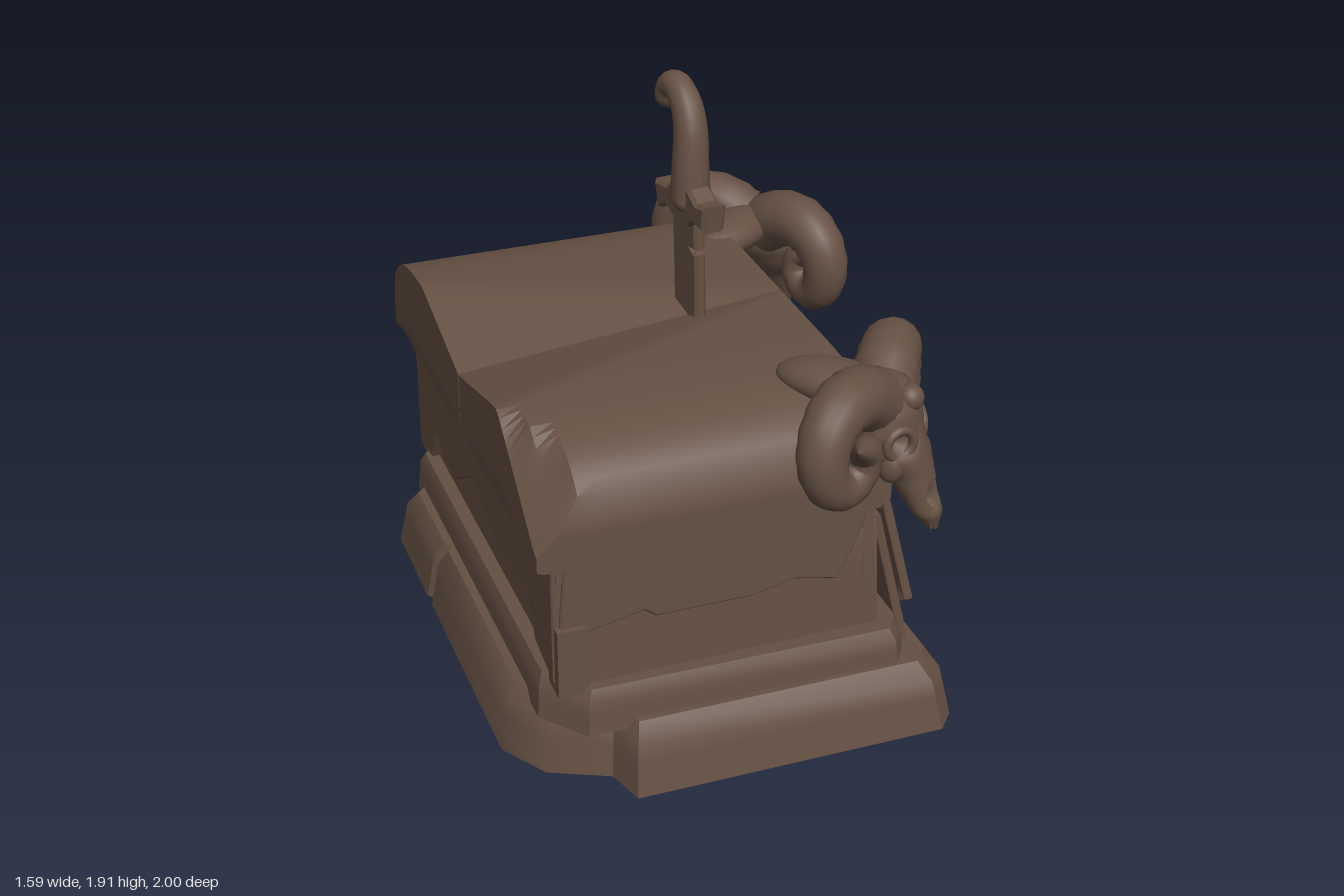
import * as THREE from 'three';
import { toCreasedNormals } from 'three/addons/utils/BufferGeometryUtils.js';

const stone = new THREE.MeshStandardMaterial({ color: 0x655043 });
stone.name = 'brownStone';

function add(parent, name, geo, x = 0, y = 0, z = 0) {
  const m = new THREE.Mesh(geo, stone);
  m.name = name;
  m.position.set(x, y, z);
  parent.add(m);
  return m;
}

// Move every vertex by a rule, then rebuild normals
function warp(geo, rule, crease = 0.6) {
  const p = geo.attributes.position, v = new THREE.Vector3();
  for (let i = 0; i < p.count; i++) {
    rule(v.fromBufferAttribute(p, i));
    p.setXYZ(i, v.x, v.y, v.z);
  }
  geo.deleteAttribute('normal');
  geo.computeVertexNormals();
  return toCreasedNormals(geo, crease);
}

const shapeOf = pts => new THREE.Shape(pts.map(p => new THREE.Vector2(p[0], p[1])));

// Plate drawn in x,y
const plate = (pts, depth, bevel = 0.006) => new THREE.ExtrudeGeometry(shapeOf(pts),
  { depth, bevelEnabled: bevel > 0, bevelSize: bevel, bevelThickness: bevel, bevelSegments: 1 });
// Plate drawn in -z,y that faces +x
const sidePlate = (pts, depth, bevel) => plate(pts, depth, bevel).rotateY(Math.PI / 2);

// Horizontal block from an x,z outline whose upper part is drawn in
function block(pts, y0, y1, top, mid = (1 + top) / 2 + 0.01) {
  const g = new THREE.ExtrudeGeometry(shapeOf(pts.map(p => [p[0], -p[1]])),
    { depth: 1, steps: 4, bevelEnabled: false }).rotateX(-Math.PI / 2);
  return warp(g, v => {
    const t = v.y;
    const s = t < 0.75 ? 1 + (mid - 1) * t / 0.75 : mid + (top - mid) * (t - 0.75) * 4;
    v.set(-0.08 + (v.x + 0.08) * s, y0 + (y1 - y0) * t, v.z * s);
  });
}

// Tube along a smooth path with a changing radius
function taperTube(pts, radius, segs = 48, sides = 16) {
  const path = new THREE.CatmullRomCurve3(pts.map(p => new THREE.Vector3(...p)));
  const g = new THREE.TubeGeometry(path, segs, 1, sides);
  const p = g.attributes.position, v = new THREE.Vector3();
  for (let i = 0; i < p.count; i++) {
    const t = Math.floor(i / (sides + 1)) / segs, c = path.getPointAt(t);
    v.fromBufferAttribute(p, i).sub(c).multiplyScalar(radius(t)).add(c);
    p.setXYZ(i, v.x, v.y, v.z);
  }
  return g;
}

function ball(r, sx = 1, sy = 1, sz = 1) {
  return new THREE.SphereGeometry(r, 24, 16).scale(sx, sy, sz);
}

// Half of the cracked top slab: rounded at its end, with a facet that
// widens from the right and falls towards the crack
function slabHalf(side) {
  const len = side > 0 ? 0.83 : 0.87;
  const g = new THREE.BoxGeometry(1.12, 1, 1, 16, 6, 28);
  return warp(g, v => {
    const t = v.y + 0.5, u = side > 0 ? v.z + 0.5 : 0.5 - v.z;
    let x = v.x - 0.16;
    const z = side * u * len;
    const e = Math.max(0, (u - 0.35) / 0.65);
    let h = 0.13 + 0.235 * Math.sqrt(Math.max(0, 1 - e ** 3.5));
    const left = Math.max(0.001, (0.4 - x) / 1.12);
    h -= 0.11 * left * Math.max(0, 1 - u * len / (0.43 * left));
    // broken front corner
    if (side > 0) h = Math.min(h, 0.37 - 0.85 * Math.max(0, z - 1.4 * (x + 0.72) - 0.45));
    if (t === 0 && x < -0.7) x += 0.02;
    v.set(x, 0.79 + t * Math.max(h, 0.06), z + side * 0.004 * t * (1 - u));
  }, 0.4);
}

// Ram skull facing its own +z, with heights in model units
function ramSkull(name) {
  const g = new THREE.Group();
  g.name = name;
  // y, z, half width, half depth
  const rows = [[1.22, -0.03, 0.03, 0.03], [1.19, -0.02, 0.09, 0.09], [1.13, 0, 0.125, 0.12],
    [1.05, 0.02, 0.135, 0.115], [0.97, 0.06, 0.12, 0.1], [0.9, 0.1, 0.08, 0.08],
    [0.83, 0.135, 0.065, 0.065], [0.77, 0.165, 0.055, 0.05], [0.71, 0.185, 0.015, 0.02]];
  const head = warp(new THREE.CylinderGeometry(1, 1, 1, 32, 32), v => {
    const f = (0.5 - v.y) * (rows.length - 1), i = Math.min(Math.floor(f), rows.length - 2);
    const r = rows[i].map((a, k) => a + (rows[i + 1][k] - a) * (f - i));
    const x = v.x * r[2];
    let z = r[1] + v.z * r[3];
    if (v.z > 0) {
      const eye = Math.hypot(Math.abs(x) - 0.085, (r[0] - 1.03) * 1.1);
      const nose = Math.hypot((Math.abs(x) - 0.025) * 1.6, (r[0] - 0.83) * 0.7);
      z -= 0.07 * Math.max(0, 1 - eye / 0.05) + 0.04 * Math.max(0, 1 - nose / 0.035);
    }
    v.set(x, r[0], z);
  }, 0.9);
  add(g, 'skull', head);
  add(g, 'backOfSkull', ball(1, 0.1, 0.07, 0.21), 0, 1.15, -0.14);
  add(g, 'foreheadKnob', ball(0.045), 0, 1.15, 0.09);
  for (const s of [-1, 1]) {
    // Horn curls in an upright plane that sweeps back
    const horn = [[0.05, 1.14], [0.13, 1.185], [0.22, 1.19], [0.295, 1.14],
      [0.325, 1.05], [0.3, 0.965], [0.235, 0.93], [0.175, 0.97], [0.175, 1.03], [0.22, 1.05]];
    add(g, 'horn', taperTube(horn.map((p, i) => [s * p[0], p[1], -0.3 * p[0] + 0.008 * i]),
      t => (0.107 - 0.055 * t) * (1 + 0.02 * Math.cos(t * 80)) * (t > 0.94 ? Math.sqrt(Math.max(0, (1 - t) / 0.06)) : 1), 96));
    const brow = add(g, 'brow', new THREE.TorusGeometry(0.047, 0.016, 8, 20), s * 0.085, 1.03, 0.095);
    brow.rotation.y = s * 0.65;
    add(g, 'cheek', ball(0.04, 0.7, 1.3, 1), s * 0.1, 0.95, 0.07);
    const tooth = add(g, 'frontTooth', new THREE.ConeGeometry(0.018, 0.09, 6), s * 0.03, 0.75, 0.185);
    tooth.rotation.x = Math.PI - 0.2;
  }
  return g;
}

// Torn hanging cloth, two layers leaning outward, with a studded collar
function clothStrip(name, x, z) {
  const g = new THREE.Group();
  g.name = name;
  const upper = [[-0.075, 0.82], [-0.115, 0.4], [-0.08, 0.43], [-0.06, 0.36], [-0.03, 0.4], [0, 0.35],
    [0.03, 0.39], [0.06, 0.34], [0.075, 0.4], [0.105, 0.38], [0.075, 0.82]];
  const lower = [[-0.06, 0.7], [-0.09, 0.23], [-0.05, 0.26], [-0.02, 0.22], [0.02, 0.27], [0.05, 0.23],
    [0.09, 0.25], [0.06, 0.7]];
  const lean = v => { v.x += (0.82 - v.y) * 0.22; };
  add(g, 'upperCloth', warp(sidePlate(upper, 0.022, 0.004), lean), x + 0.015, 0, z);
  add(g, 'lowerCloth', warp(sidePlate(lower, 0.022, 0.004), lean), x - 0.02, 0, z);
  add(g, 'collar', new THREE.BoxGeometry(0.1, 0.1, 0.22), x - 0.01, 0.84, z);
  for (const s of [-1, 1]) add(g, 'stud', ball(0.033), x + 0.04, 0.84, z + s * 0.065);
  return g;
}

export function createModel() {
  const model = new THREE.Group();
  model.name = 'altar';

  // Stepped plinth with chipped corners
  add(model, 'base', block([[-0.79, 0.6], [-0.69, 0.76], [-0.5, 0.85], [-0.46, 0.98], [0.58, 0.99], [0.64, 0.92],
    [0.64, -0.93], [0.57, -1], [-0.36, -1], [-0.41, -0.94], [-0.66, -0.86], [-0.79, -0.72],
    [-0.79, -0.33], [-0.765, -0.3], [-0.79, -0.27]], 0, 0.225, 0.91, 0.96));
  add(model, 'step', block([[-0.7, 0.72], [-0.58, 0.87], [0.46, 0.89], [0.51, 0.82], [0.51, -0.83], [0.46, -0.9],
    [-0.55, -0.9], [-0.7, -0.76]], 0.19, 0.34, 0.96, 0.985));
  add(model, 'body', block([[-0.63, 0.8], [0.42, 0.8], [0.42, -0.82], [-0.63, -0.82]], 0.33, 0.8, 0.94));
  add(model, 'neck', block([[-0.65, 0.79], [0.37, 0.79], [0.37, -0.82], [-0.65, -0.82]], 0.72, 0.8, 1, 1));

  // Remaining patches of facing on the four walls
  const facing = [[-0.62, 0.79], [-0.64, 0.54], [-0.57, 0.53], [-0.37, 0.57], [-0.33, 0.54], [-0.02, 0.54],
    [0.13, 0.57], [0.27, 0.54], [0.33, 0.66], [0.37, 0.79]];
  add(model, 'frontFacing', plate(facing, 0.03), 0, 0, 0.762);
  add(model, 'backFacing', plate(facing, 0.05), 0, 0, -0.84);
  const wall = [[-0.77, 0.79], [-0.79, 0.52], [-0.55, 0.53], [-0.3, 0.6], [0, 0.62], [0.25, 0.6], [0.5, 0.54],
    [0.8, 0.5], [0.79, 0.79]];
  add(model, 'rightFacing', sidePlate(wall, 0.03), 0.365, 0, 0);
  add(model, 'leftFacing', sidePlate([[-0.78, 0.79], [-0.78, 0.36], [-0.6, 0.4], [-0.52, 0.55], [-0.2, 0.5],
    [0.1, 0.6], [0.35, 0.45], [0.6, 0.5], [0.68, 0.36], [0.82, 0.36], [0.82, 0.79]], 0.04), -0.66, 0, 0);
  for (const [x, z] of [[-0.61, 0.77], [-0.61, -0.8]])
    add(model, 'cornerStone', new THREE.BoxGeometry(0.1, 0.24, 0.1), x, 0.44, z);

  // Cracked top slab
  add(model, 'slabFront', slabHalf(1));
  add(model, 'slabBack', slabHalf(-1));

  // Skulls and cloth on the two left corners
  const frontSkull = ramSkull('frontSkull');
  frontSkull.position.set(0.425, 0, 0.74);
  frontSkull.rotation.y = Math.PI / 4;
  const backSkull = ramSkull('backSkull');
  backSkull.position.set(0.585, -0.03, -0.66);
  backSkull.rotation.y = Math.PI / 2 + 0.62;
  model.add(frontSkull, backSkull, clothStrip('frontCloth', 0.41, 0.68), clothStrip('backCloth', 0.45, -0.66));

  // Garland with beads and a round boss
  for (const s of [-1, 1]) {
    add(model, 'garland', taperTube([[0.4, 0.85, s * 0.6 - 0.02], [0.41, 0.8, s * 0.42 - 0.03],
      [0.42, 0.74, s * 0.22 - 0.03], [0.42, 0.7, -0.03]], t => 0.045 + 0.018 * Math.sin(t * Math.PI), 24));
    add(model, 'bead', ball(0.045), 0.455, 0.7, s * 0.225 - 0.03);
  }
  add(model, 'boss', ball(0.166, 0.4, 1, 1), 0.43, 0.7, -0.035);

  // Sword driven into the slab
  const sword = new THREE.Group();
  sword.name = 'sword';
  sword.position.set(0.09, 0, -0.03);
  sword.rotation.y = 0.12;
  add(sword, 'blade', sidePlate([[-0.075, 1.05], [0.065, 1.05], [0.085, 1.5], [-0.06, 1.5], [-0.062, 1.38],
    [-0.02, 1.37], [-0.066, 1.35]], 0.02, 0.01), -0.015, 0, 0);
  add(sword, 'guard', sidePlate([[-0.15, 1.55], [-0.14, 1.48], [-0.08, 1.49], [-0.04, 1.46], [0.06, 1.46],
    [0.11, 1.48], [0.16, 1.45], [0.18, 1.52], [0.1, 1.53], [0.05, 1.57], [-0.05, 1.57], [-0.1, 1.54]], 0.06, 0.012),
    -0.03, 0, 0);
  add(sword, 'guardBoss', ball(0.05, 1.35, 1, 1), 0.005, 1.525, 0);
  add(sword, 'handle', taperTube([[0, 1.53, -0.01], [0.005, 1.64, -0.02], [0.015, 1.75, -0.04], [0.02, 1.82, -0.08],
    [0.02, 1.86, -0.145], [0.02, 1.845, -0.19], [0.02, 1.81, -0.21]], t => 0.066 - 0.022 * t));
  add(sword, 'pommel', ball(0.044), 0.02, 1.81, -0.208);
  model.add(sword);
  return model;
}
